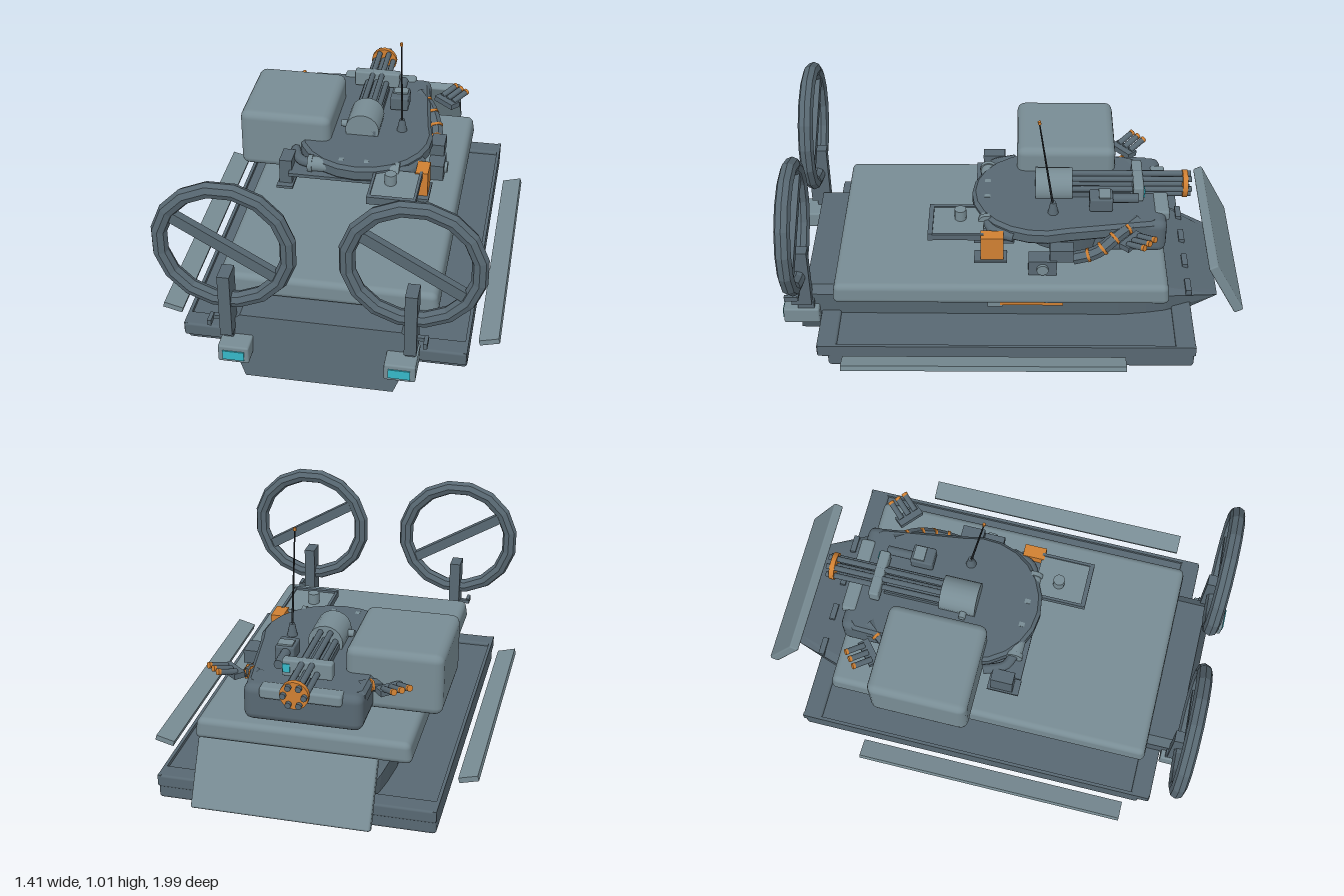
import * as THREE from 'three';
import { RoundedBoxGeometry } from 'three/addons/geometries/RoundedBoxGeometry.js';

const mat = (name, color) => {
  const m = new THREE.MeshStandardMaterial({ color });
  m.name = name;
  return m;
};

export function createModel() {
  const light = mat('light slate', 0x788c94);
  const dark = mat('dark slate', 0x586872);
  const black = mat('near black', 0x24292d);
  const orange = mat('orange', 0xd08032);
  const cyan = mat('cyan glass', 0x36b8c8);

  const root = new THREE.Group();
  root.name = 'hoverTank';
  const add = (name, geo, m, x, y, z, rx = 0, ry = 0, rz = 0, parent = root) => {
    const mesh = new THREE.Mesh(geo, m);
    mesh.name = name;
    mesh.position.set(x, y, z);
    mesh.rotation.set(rx, ry, rz);
    parent.add(mesh);
    return mesh;
  };
  // Box given by its extents on each axis
  const box = (name, m, x0, x1, y0, y1, z0, z1, r = 0) => {
    const s = [x1 - x0, y1 - y0, z1 - z0];
    const g = r ? new RoundedBoxGeometry(...s, 2, r) : new THREE.BoxGeometry(...s);
    return add(name, g, m, (x0 + x1) / 2, (y0 + y1) / 2, (z0 + z1) / 2);
  };
  const cyl = (r0, r1, h, n = 12) => new THREE.CylinderGeometry(r0, r1, h, n);
  const flat = (g) => {
    const f = g.index ? g.toNonIndexed() : g;
    f.computeVertexNormals();
    return f;
  };
  // Flat slab from a plan outline of [x, z] points
  const slab = (pts, h, bevel) => {
    const shape = new THREE.Shape(pts.map(([x, z]) => new THREE.Vector2(x, -z)));
    const g = new THREE.ExtrudeGeometry(shape, {
      depth: h - 2 * bevel, bevelEnabled: bevel > 0, bevelSize: bevel,
      bevelThickness: bevel, bevelOffset: -bevel, bevelSegments: 1,
    });
    return g.rotateX(-Math.PI / 2).translate(0, bevel, 0);
  };

  // Hull lofted along z: [z, bottom, top, half width at top, half width at bottom, front lean]
  const sections = [
    [0.94, 0, 0.27, 0.36, 0.30, 0.045], [-0.45, 0, 0.272, 0.365, 0.30, 0],
    [-0.57, 0, 0.256, 0.35, 0.28, 0], [-0.66, 0.043, 0.24, 0.335, 0.28, 0],
    [-0.89, 0.145, 0.155, 0.25, 0.24, 0],
  ];
  const pos = [], idx = [], N = 8;
  for (const [z, b, t, w, wb, lean] of sections) {
    const half = [[wb, 0], [w - 0.01, 0.45], [w, 0.9], [w - 0.035, 1]];
    const ring = [...half, ...half.map(([x, f]) => [-x, f]).reverse()];
    for (const [x, f] of ring) pos.push(x, b + f * (t - b), z - lean * f);
  }
  for (let s = 0; s < sections.length - 1; s++)
    for (let i = 0; i < N; i++) {
      const a = s * N + i, b = s * N + (i + 1) % N;
      idx.push(a, a + N, b, b, a + N, b + N);
    }
  const last = (sections.length - 1) * N;
  for (let i = 1; i < N - 1; i++) idx.push(0, i, i + 1, last, last + i + 1, last + i);
  const hull = new THREE.BufferGeometry();
  hull.setAttribute('position', new THREE.Float32BufferAttribute(pos, 3));
  hull.setIndex(idx);
  add('hull', flat(hull), dark, 0, 0, 0);

  // Side skirt with raised rim
  box('skirt', dark, -0.58, 0.58, 0.035, 0.13, -0.765, 0.79, 0.015);
  box('skirtFrontRim', dark, -0.58, 0.58, 0.085, 0.145, 0.75, 0.835, 0.01);
  box('skirtBackRim', dark, -0.58, 0.58, 0.09, 0.145, -0.77, -0.685, 0.01);

  // Upper deck, narrower at its top
  const deck = new RoundedBoxGeometry(0.91, 0.09, 1.43, 3, 0.025);
  const dp = deck.attributes.position;
  for (let i = 0; i < dp.count; i++) {
    const k = 0.99 - dp.getY(i) * 0.3;
    dp.setX(i, dp.getX(i) * k);
    dp.setZ(i, dp.getZ(i) * (0.992 - dp.getY(i) * 0.15));
  }
  add('deck', deck, light, 0, 0.317, 0.055);

  // Tilted rear panel
  add('rearPanel', new RoundedBoxGeometry(0.72, 0.28, 0.043, 1, 0.008), light, 0, 0.278, -0.908, 0.49);

  for (const s of [-1, 1]) {
    const span = (name, m, a, b, ...rest) => box(name, m, Math.min(s * a, s * b), Math.max(s * a, s * b), ...rest);
    span('skirtSideRim', dark, 0.566, 0.58, 0.1, 0.145, -0.77, 0.83);
    span('rearHook', dark, 0.22, 0.3, 0.195, 0.22, -0.77, -0.745);
    span('innerHook', dark, 0.05, 0.125, 0.195, 0.22, -0.77, -0.745);
    // Side fin
    add('sideFin', new THREE.BoxGeometry(0.083, 0.024, 1.19), light, s * 0.66, 0.125, 0.125, 0, 0, s * 0.26);
    // Stripe under the deck
    span('sideStripe', orange, 0.36, 0.376, 0.2, 0.247, -0.21, 0.06);
    span('stripeEnd', light, 0.355, 0.375, 0.19, 0.255, 0.05, 0.115);
    // Headlight
    span('headlight', light, 0.27, 0.395, 0.108, 0.185, 0.84, 0.995, 0.008);
    span('headlightLens', cyan, 0.288, 0.375, 0.124, 0.165, 0.993, 1);
    // Ring sensor on its post
    span('ringPost', dark, 0.343, 0.392, 0.21, 0.495, 0.868, 0.955);
    span('postFoot', dark, 0.345, 0.385, 0.17, 0.22, 0.86, 0.93);
    span('postPeg', dark, 0.42, 0.436, 0.268, 0.292, 0.92, 0.975);
    span('pegArm', dark, 0.38, 0.436, 0.272, 0.288, 0.915, 0.935);
    add('ring', flat(new THREE.TorusGeometry(0.257, 0.033, 8, 16)), dark, s * 0.367, 0.62, 0.915, 0, 0, 0.2);
    add('ringBar', new THREE.BoxGeometry(0.49, 0.045, 0.035), dark, s * 0.367, 0.62, 0.915, 0, 0, -0.53);

    // Smoke launcher: angled block with three tubes
    const launcher = new THREE.Group();
    launcher.name = 'smokeLauncher';
    launcher.position.set(s * 0.345, 0.53, -0.51);
    launcher.rotation.y = -s * 0.72;
    root.add(launcher);
    add('launcherBlock', new THREE.BoxGeometry(0.115, 0.025, 0.05), dark, 0, -0.01, 0.02, 0, 0, 0, launcher);
    for (const i of [-1, 0, 1]) {
      add('launcherTube', cyl(0.013, 0.013, 0.085, 8), dark, i * 0.036, 0.013, -0.025, -1.3, 0, 0, launcher);
      add('launcherTip', cyl(0.014, 0.014, 0.012, 8), orange, i * 0.036, 0.025, -0.066, -1.3, 0, 0, launcher);
    }

    // Ammunition belt with bright links
    const belt = new THREE.CatmullRomCurve3([
      [0.2, 0.53, -0.53], [0.265, 0.5, -0.44], [0.305, 0.44, -0.35], [0.31, 0.41, -0.25],
    ].map(([x, y, z]) => new THREE.Vector3(s * x, y, z)));
    add('ammoBelt', flat(new THREE.TubeGeometry(belt, 12, 0.028, 6)), dark, 0, 0, 0);
    for (const t of [0.2, 0.4, 0.6, 0.8]) {
      const link = add('beltLink', cyl(0.032, 0.032, 0.012, 6), orange, ...belt.getPointAt(t).toArray());
      link.quaternion.setFromUnitVectors(new THREE.Vector3(0, 1, 0), belt.getTangentAt(t));
    }

    // Front side boxes: one bright, one plain
    span('sideBox', s > 0 ? orange : dark, 0.27, 0.325, 0.41, 0.525, 0.045, 0.142);
    span('sideBoxBase', dark, 0.262, 0.333, 0.4, 0.412, 0.03, 0.17);
    // Arm from the front roll back to the turret
    const arm = new THREE.CatmullRomCurve3([
      [0.18, 0.51, 0.118], [0.24, 0.505, 0.09], [0.28, 0.5, 0],
    ].map(([x, y, z]) => new THREE.Vector3(s * x, y, z)));
    add('rollArm', new THREE.TubeGeometry(arm, 8, 0.022, 8), dark, 0, 0, 0);
    add('rollCap', cyl(0.038, 0.038, 0.02, 14), light, s * 0.19, 0.51, 0.118, 0, 0, Math.PI / 2);
    add('rollBand', cyl(0.038, 0.038, 0.02, 14), light, s * 0.055, 0.51, 0.118, 0, 0, Math.PI / 2);
  }

  // Turret: lower drum, main plate and rear block
  const arc = [];
  for (let i = 0; i <= 14; i++) {
    const a = -0.35 + (i / 14) * (Math.PI + 0.7);
    arc.push([0.015 + 0.295 * Math.cos(a), -0.12 + 0.305 * Math.sin(a)]);
  }
  const outline = [...arc, [-0.25, -0.59], [-0.22, -0.62], [0.21, -0.62], [0.24, -0.59]].reverse();
  add('turretPlate', slab(outline, 0.07, 0.015), dark, 0, 0.475, 0);
  add('turretDrum', cyl(0.265, 0.24, 0.095, 20), dark, 0, 0.432, -0.25);
  box('turretBlock', dark, -0.25, 0.245, 0.385, 0.545, -0.65, -0.33, 0.035);
  box('rearBar', light, -0.17, 0.17, 0.5, 0.55, -0.665, -0.6, 0.012);
  box('lowerBrace', dark, -0.28, 0.28, 0.465, 0.48, 0, 0.17);
  add('frontRoll', cyl(0.033, 0.033, 0.38, 14), light, 0, 0.51, 0.118, 0, 0, Math.PI / 2);

  // Large side pod
  box('sidePod', light, -0.535, -0.13, 0.385, 0.655, -0.445, -0.01, 0.035);

  // Hatch panel
  box('hatchPanel', light, 0.095, 0.3, 0.505, 0.52, 0.13, 0.36);
  box('hatchLip', dark, 0.095, 0.3, 0.495, 0.53, 0.345, 0.365);
  for (const x of [0.1, 0.295]) box('hatchRail', dark, x - 0.006, x + 0.006, 0.498, 0.527, 0.13, 0.36);
  add('hatchKnob', cyl(0.025, 0.025, 0.05, 14), light, 0.177, 0.543, 0.23);

  // Rotary gun
  const gunY = 0.578;
  add('gunMotor', cyl(0.075, 0.075, 0.16, 20), light, 0, 0.57, -0.17, Math.PI / 2);
  box('gunCradle', dark, -0.06, 0.06, 0.53, 0.57, -0.5, -0.09);
  add('gunKnob', cyl(0.016, 0.016, 0.03, 10), light, -0.085, 0.57, -0.14, 0, 0, Math.PI / 2);
  for (let i = 0; i < 6; i++) {
    const a = (i / 6) * Math.PI * 2;
    add('barrel', cyl(0.013, 0.013, 0.53, 8), dark, 0.043 * Math.cos(a), gunY + 0.043 * Math.sin(a), -0.5, Math.PI / 2);
  }
  add('barrelCore', cyl(0.018, 0.018, 0.48, 8), dark, 0, gunY, -0.49, Math.PI / 2);
  add('muzzleRing', cyl(0.06, 0.06, 0.022, 16), orange, 0, gunY, -0.738, Math.PI / 2);
  box('barrelClamp', light, -0.105, 0.105, 0.555, 0.628, -0.555, -0.51, 0.008);

  // Scope beside the gun
  box('scopeBody', dark, 0.09, 0.172, 0.55, 0.615, -0.42, -0.32, 0.008);
  add('scopeTube', cyl(0.02, 0.02, 0.12, 12), dark, 0.125, 0.59, -0.47, Math.PI / 2);
  box('scopeLens', cyan, 0.07, 0.1, 0.575, 0.612, -0.56, -0.554);
  box('scopeCap', light, 0.1, 0.165, 0.615, 0.622, -0.41, -0.36);

  // Right-hand equipment boxes with a round port
  box('equipmentBox', dark, 0.3, 0.362, 0.43, 0.49, -0.25, -0.15);
  box('portBox', dark, 0.3, 0.37, 0.365, 0.437, -0.18, -0.06);
  add('port', cyl(0.025, 0.025, 0.02, 16), light, 0.373, 0.4, -0.12, 0, 0, Math.PI / 2);

  // Leaning aerial
  add('aerialBase', cyl(0.012, 0.024, 0.06, 12), dark, 0.168, 0.57, -0.165);
  add('aerialRod', cyl(0.003, 0.005, 0.42, 6), black, 0.168, 0.795, -0.133, 0.148);
  add('aerialTip', cyl(0.007, 0.007, 0.014, 6), orange, 0.168, 1.007, -0.102, 0.148);

  return root;
}
